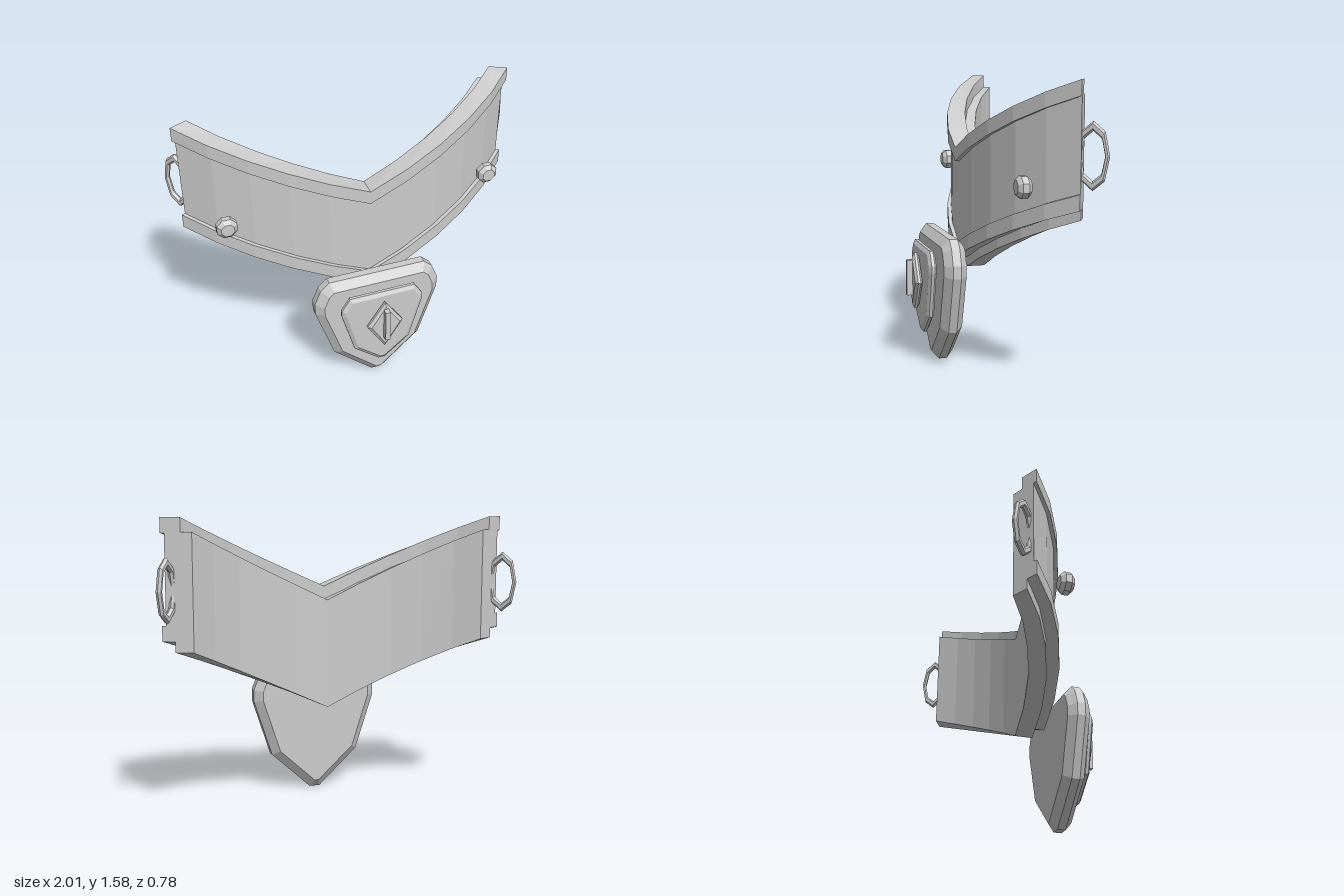
import * as THREE from 'three';

const material = new THREE.MeshStandardMaterial({ color: 0xcccccc, flatShading: true });
const HALF = 5;                                   // facets on each side of the centre
const ARC = THREE.MathUtils.degToRad(50);
const RISE = 0.385;                               // how far the V climbs to its ends

function add(parent, name, geometry) {
  const mesh = new THREE.Mesh(geometry, material);
  mesh.name = name;
  parent.add(mesh);
  return mesh;
}

// Point on the collar at facet k; depth 0 is the inner face, 1 the outermost
function collarPoint(k, depth, y) {
  const angle = (k / HALF) * ARC;
  const side = Math.sin(angle) / Math.sin(ARC);
  const drop = (1 - Math.cos(angle)) / (1 - Math.cos(ARC));
  return [
    (0.81 + 0.145 * depth) * side,
    y + RISE * Math.abs(side),
    -0.06 + 0.17 * depth - (0.27 + 0.095 * depth) * drop,
  ];
}

// Sweeps a rectangular section along the curved V
function collarBand(inner, outer, bottom, top) {
  const rings = [];
  for (let k = -HALF; k <= HALF; k++) {
    rings.push([
      collarPoint(k, inner, bottom), collarPoint(k, outer, bottom),
      collarPoint(k, outer, top), collarPoint(k, inner, top),
    ]);
  }
  const positions = [];
  const quad = (a, b, c, d) => positions.push(...a, ...b, ...c, ...a, ...c, ...d);
  for (let r = 0; r < rings.length - 1; r++) {
    for (let i = 0; i < 4; i++) {
      const j = (i + 1) % 4;
      quad(rings[r][i], rings[r + 1][i], rings[r + 1][j], rings[r][j]);
    }
  }
  const first = rings[0];
  const last = rings[rings.length - 1];
  quad(first[0], first[1], first[2], first[3]);
  quad(last[3], last[2], last[1], last[0]);
  const geometry = new THREE.BufferGeometry();
  geometry.setAttribute('position', new THREE.Float32BufferAttribute(positions, 3));
  geometry.computeVertexNormals();
  return geometry;
}

// Mirrored plate bevelled inward on both faces; the half outline runs bottom to top on +x
function plate(half, back, front, bevelSize, bevelThickness) {
  const mirrored = half.filter(([x]) => x > 0).map(([x, y]) => [-x, y]).reverse();
  const shape = new THREE.Shape([...half, ...mirrored].map(([x, y]) => new THREE.Vector2(x, y)));
  const geometry = new THREE.ExtrudeGeometry(shape, {
    depth: front - back - 2 * bevelThickness,
    bevelSize, bevelThickness, bevelOffset: -bevelSize, bevelSegments: 1,
  });
  return geometry.translate(0, 0, back + bevelThickness);
}

export function createModel() {
  const model = new THREE.Group();
  model.name = 'collarWithPendant';

  // Collar layers
  const collar = new THREE.Group();
  collar.name = 'collar';
  model.add(collar);
  add(collar, 'collarLining', collarBand(0, 0.59, 0.52, 1.125));
  add(collar, 'collarBand', collarBand(0.37, 0.87, 0.64, 1.14));
  add(collar, 'topTrim', collarBand(0.36, 1, 1.12, 1.197));
  add(collar, 'bottomTrim', collarBand(0.36, 1, 0.575, 0.655));

  // Pendant plates, stacked towards the front
  const pendant = new THREE.Group();
  pendant.name = 'pendant';
  model.add(pendant);
  add(pendant, 'pendantBase', plate(
    [[0.03, 0], [0.26, 0.21], [0.365, 0.53], [0.365, 0.6], [0.33, 0.685], [0.28, 0.73]],
    0.13, 0.255, 0.045, 0.04));
  add(pendant, 'pendantInset', plate(
    [[0.02, 0.16], [0.165, 0.28], [0.238, 0.54], [0.238, 0.58], [0.19, 0.655]],
    0.27, 0.315, 0.022, 0.014));
  add(pendant, 'pendantDiamond', plate(
    [[0, 0.295], [0.105, 0.46], [0, 0.615]], 0.32, 0.36, 0.018, 0.013));
  add(pendant, 'pendantBar', new THREE.BoxGeometry(0.028, 0.2, 0.035))
    .position.set(0, 0.475, 0.375);

  // Rivets and end loops on both sides
  const rivetProfile = [[0, -0.037], [0.038, -0.037], [0.06, -0.016], [0.06, 0.016], [0.038, 0.037], [0, 0.037]]
    .map(([r, y]) => new THREE.Vector2(r, y));
  for (const side of [1, -1]) {
    const label = side > 0 ? 'left' : 'right';
    const rivet = add(model, label + 'Rivet',
      new THREE.LatheGeometry(rivetProfile, 8).rotateY(Math.PI / 8).rotateX(Math.PI / 2));
    rivet.position.set(side * 0.76, 1.06, -0.035);

    const loop = add(model, label + 'Loop',
      new THREE.TorusGeometry(0.143, 0.024, 6, 8).scale(0.5, 1, 0.7));
    loop.position.set(side * 0.942, 1.22, -0.322);
    loop.rotation.y = side > 0 ? 0.88 : -0.88;
  }
  return model;
}
